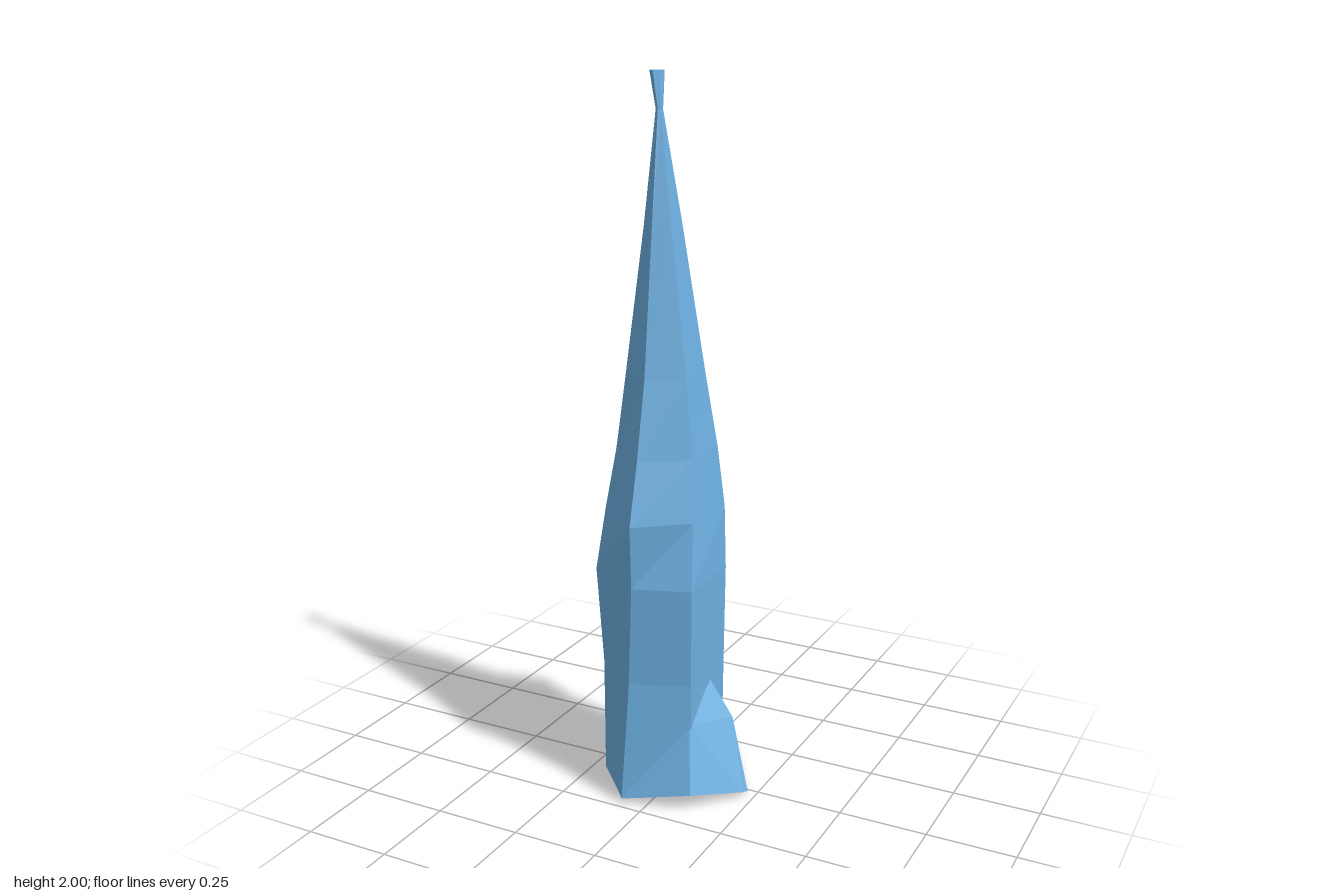
import * as THREE from 'three';
import { ConvexGeometry } from 'three/addons/geometries/ConvexGeometry.js';

// Column cross-sections: height, then x,z corners clockwise from the back left
const RINGS = [
  [0.015, [-.2, -.14, -.03, -.165, .09, -.09, .095, .12, -.07, .228, -.2, .09, -.205, -.08]],
  [0.35, [-.2, -.14, -.03, -.168, .092, -.095, .095, .122, -.064, .19, -.203, .085, -.205, -.09]],
  [0.63, [-.205, -.147, -.03, -.175, .094, -.1, .097, .123, -.062, .175, -.227, .08, -.229, -.1]],
  [0.81, [-.19, -.14, -.03, -.216, .085, -.108, .077, .075, -.06, .185, -.21, .05, -.212, -.09]],
  [0.98, [-.16, -.115, -.06, -.148, .066, -.1, .062, .045, -.062, .137, -.185, .03, -.187, -.06]],
  [1.2, [-.145, -.105, -.07, -.135, .03, -.09, .03, .025, -.065, .085, -.16, .015, -.165, -.055]],
  [1.6, [-.115, -.085, -.08, -.095, -.035, -.08, -.035, -.015, -.08, .01, -.115, -.01, -.122, -.05]],
  [1.9, [-.1, -.063, -.093, -.067, -.083, -.062, -.083, -.05, -.09, -.045, -.098, -.048, -.102, -.056]],
  [2.0, [-.11, -.069, -.095, -.083, -.082, -.07, -.09, -.053, -.1, -.036, -.11, -.045, -.12, -.055]],
];

// Joins the cross-sections into a closed, faceted skin
function loft(rings) {
  const n = rings[0][1].length / 2;
  const positions = [];
  const index = [];
  for (const [y, c] of rings) {
    for (let i = 0; i < n; i++) positions.push(c[2 * i], y, c[2 * i + 1]);
  }
  for (let r = 0; r < rings.length - 1; r++) {
    for (let i = 0; i < n; i++) {
      const a = r * n + i;
      const b = r * n + (i + 1) % n;
      index.push(b, a, a + n, b, a + n, b + n);
    }
  }
  const top = (rings.length - 1) * n;
  for (let i = 1; i < n - 1; i++) {
    index.push(0, i, i + 1, top, top + i + 1, top + i);
  }
  const indexed = new THREE.BufferGeometry();
  indexed.setAttribute('position', new THREE.Float32BufferAttribute(positions, 3));
  indexed.setIndex(index);
  const geometry = indexed.toNonIndexed();
  geometry.computeVertexNormals();
  return geometry;
}

export function createModel() {
  const group = new THREE.Group();
  group.name = 'crystalSpire';
  const ice = new THREE.MeshStandardMaterial({ color: 0x6cafe0 });
  ice.name = 'ice blue';
  ice.flatShading = true;

  // Tall tapering column with a chipped tip
  const column = new THREE.Mesh(loft(RINGS), ice);
  column.name = 'column';
  group.add(column);

  // Sloping lump at the base, leaning against the column
  const footPoints = [
    [-.2, .015, -.135], [.06, 0, -.23], [.228, .01, .025], [.222, .015, .045],
    [.125, .05, .187], [-.07, .012, .228], [-.2, .015, .085],
    [.05, .1, -.21], [.16, .21, -.015], [.095, .32, 0], [.09, .23, .12],
  ].map((p) => new THREE.Vector3(...p));
  const foot = new THREE.Mesh(new ConvexGeometry(footPoints), ice);
  foot.name = 'foot';
  group.add(foot);

  return group;
}
